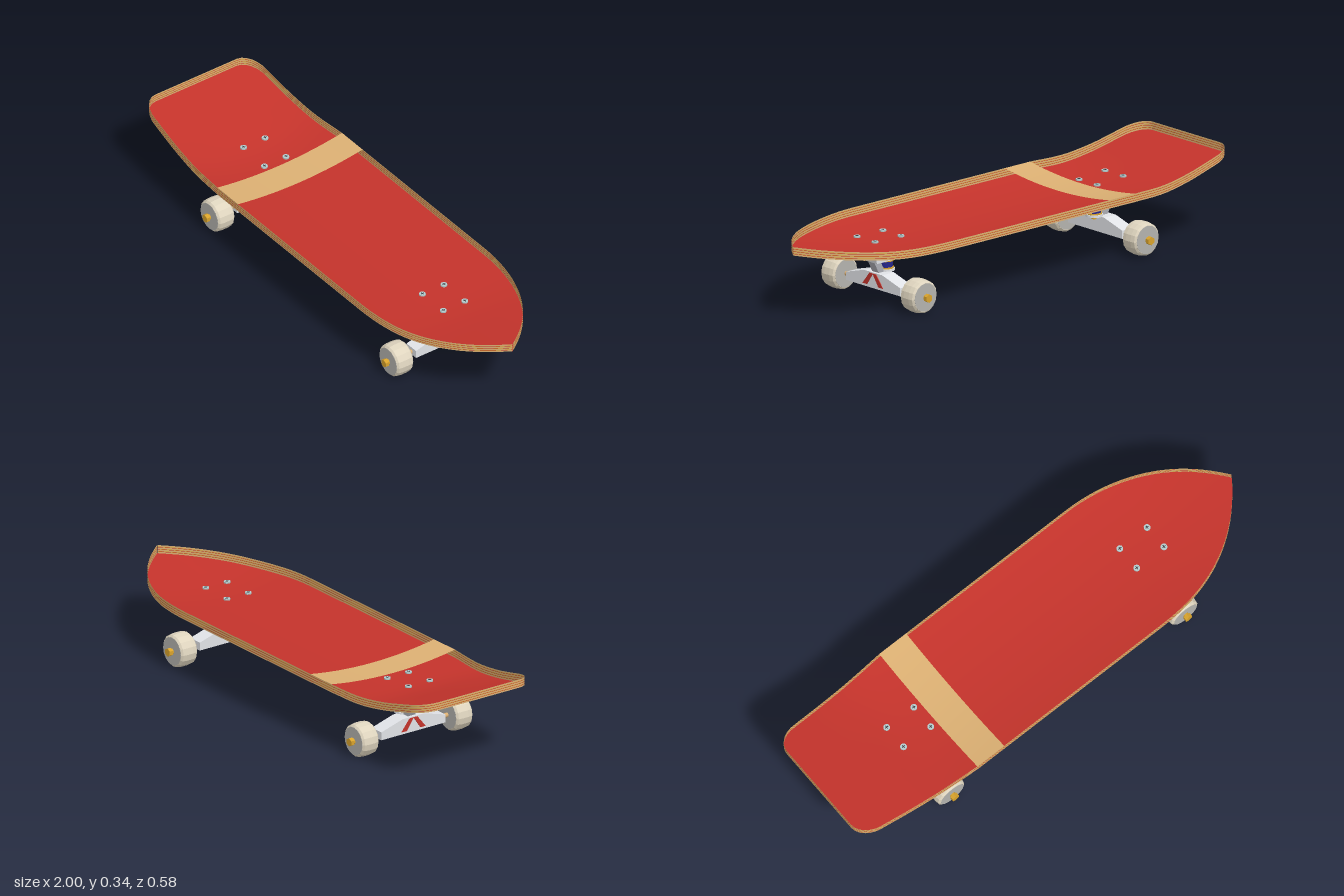
import * as THREE from 'three';

const mat = (name, color, extra = {}) => Object.assign(new THREE.MeshStandardMaterial({ color, ...extra }), { name });

export function createModel() {
  const red = mat('red', 0xc4332b, { side: THREE.DoubleSide });
  const wood = mat('maple', 0xdcb073, { side: THREE.DoubleSide });
  const cast = mat('light cast metal', 0xe2e4e8, { flatShading: true });
  const grey = mat('base grey', 0xacadb4, { flatShading: true });
  const brass = mat('brass', 0xd9a32c, { flatShading: true, side: THREE.DoubleSide });
  const blue = mat('bushing blue', 0x26268c);
  const cream = mat('wheel cream', 0xdfd5bf, { flatShading: true });
  const steel = mat('bolt steel', 0xb4cccd);
  const dark = mat('dark recess', 0x3a4044);
  const hubGrey = mat('hub grey', 0xb4b3ae);

  const model = new THREE.Group();
  const add = (parent, name, geometry, material, x = 0, y = 0, z = 0) => {
    const mesh = new THREE.Mesh(geometry, material);
    mesh.name = name;
    mesh.position.set(x, y, z);
    parent.add(mesh);
    return mesh;
  };

  // Grid surface from a point rule
  const grid = (ni, nj, point, flip = false) => {
    const pos = [], index = [];
    for (let i = 0; i <= ni; i++) for (let j = 0; j <= nj; j++) pos.push(...point(i, j));
    for (let i = 0; i < ni; i++) for (let j = 0; j < nj; j++) {
      const a = i * (nj + 1) + j, b = a + 1, c = a + nj + 1, d = c + 1;
      index.push(...(flip ? [a, c, b, b, c, d] : [a, b, c, b, d, c]));
    }
    const g = new THREE.BufferGeometry();
    g.setAttribute('position', new THREE.Float32BufferAttribute(pos, 3));
    g.setIndex(index);
    g.computeVertexNormals();
    return g;
  };

  // Deck outline as [x, half width] stations from tail to nose
  const stations = [];
  for (let i = 0; i < 7; i++) {
    const a = (i / 6) * Math.PI / 2;
    stations.push([-1 + 0.1 * (1 - Math.cos(a)), 0.19 + 0.07 * Math.sin(a)]);
  }
  for (let i = 1; i <= 12; i++) stations.push([-0.9 + 0.43 * i / 12, 0.26 + 0.03 * i / 12]);
  const stripeStart = stations.length - 1;
  stations.push([-0.34, 0.29]);
  const stripeEnd = stations.length - 1;
  for (const x of [-0.1, 0.15, 0.3]) stations.push([x, 0.29]);
  for (let i = 0; i <= 20; i++) {
    const t = i / 20, u = 1 - t;
    stations.push([0.43 * u * u + 1.6 * u * t + t * t, Math.max(0.001, 0.29 * (u * u + 2 * u * t))]);
  }
  const last = stations.length - 1;

  // Floor height: kicked tail and nose, with concave in the middle
  const kick = (d, blend, slope) => d <= 0 ? 0 : d < blend ? slope * d * d / (2 * blend) : slope * (d - blend / 2);
  const smooth = THREE.MathUtils.smoothstep;
  const deckY = (x, z) => 0.215 + kick(-0.52 - x, 0.16, 0.2425) + kick(x - 0.55, 0.2, 0.128)
    + 0.024 * (z / 0.29) ** 2 * smooth(x, -0.82, -0.5) * (1 - 0.5 * smooth(x, 0.55, 1));
  const thickness = 0.033;

  // Thin floor inside a raised rim, with the stripe bridging the rim tops
  const deck = new THREE.Group();
  deck.name = 'deck';
  model.add(deck);
  const sheet = (name, from, to, lift, material) => add(deck, name, grid(to - from, 14, (i, j) => {
    const [x, w] = stations[from + i], z = w * (j / 7 - 1);
    return [x, deckY(x, z) + lift, z];
  }), material);
  sheet('deckFloor', 0, last, 0, red);
  sheet('topStripe', stripeStart, stripeEnd, thickness, wood);

  // Plies around the rim: thick maple with thin red and brass lines between
  const plies = [[wood, 0.006], [red, 0.0015], [brass, 0.0015]];
  let low = 0;
  for (let n = 0; n < 10; n++) {
    const [material, h] = plies[n % 3], base = low;
    for (const side of [1, -1]) {
      add(deck, 'sidePly', grid(last, 1, (i, j) => {
        const [x, w] = stations[i];
        return [x, deckY(x, w) + base + j * h, side * w];
      }, side > 0), material);
    }
    add(deck, 'tailPly', grid(1, 1, (i, j) => {
      const [x, w] = stations[0], z = w * (2 * i - 1);
      return [x, deckY(x, z) + base + j * h, z];
    }, true), material);
    low += h;
  }

  // Extruded plates; crossPlate profiles are drawn in z and y and run along x
  const plate = (pts, depth) =>
    new THREE.ExtrudeGeometry(new THREE.Shape(pts.map(p => new THREE.Vector2(...p))), { depth, bevelEnabled: false })
      .translate(0, 0, -depth / 2);
  const crossPlate = (pts, depth) => plate(pts, depth).rotateY(Math.PI / 2);
  const rod = (r, len, n) => new THREE.CylinderGeometry(r, r, len, n).rotateX(Math.PI / 2);
  const wheelShape = [[0.001, -0.0375], [0.056, -0.0375], [0.063, -0.031], [0.0655, -0.013],
    [0.0655, 0.013], [0.063, 0.031], [0.056, 0.0375], [0.001, 0.0375]].map(p => new THREE.Vector2(...p));
  const wheelGeometry = new THREE.LatheGeometry(wheelShape, 16).rotateX(Math.PI / 2);

  // Truck at x = end * 0.565, with local +x facing the end of the board
  const buildTruck = (name, end) => {
    const truck = new THREE.Group();
    truck.name = name;
    truck.position.x = end * 0.565;
    truck.rotation.y = end > 0 ? 0 : Math.PI;
    model.add(truck);
    add(truck, 'baseplate', new THREE.BoxGeometry(0.166, 0.0105, 0.14), grey, 0, 0.2093, 0);
    add(truck, 'baseBlock', plate([[-0.042, 0.155], [0.04, 0.155], [0.055, 0.206], [-0.055, 0.206]], 0.066), cast);
    add(truck, 'pivot', new THREE.BoxGeometry(0.028, 0.066, 0.036), grey, 0.014, 0.136, 0).rotation.z = -0.45;
    add(truck, 'hanger', crossPlate([[-0.15, 0.052], [0.15, 0.052], [0.15, 0.084], [0.05, 0.113], [-0.05, 0.113], [-0.15, 0.084]], 0.06), cast);

    // Kingpin stack
    const stack = (part, r, y, h, m) => add(truck, part, new THREE.CylinderGeometry(r, r, h, 16), m, -0.035, y, 0);
    stack('bushingSeat', 0.034, 0.116, 0.009, cast);
    stack('lowerWasher', 0.03, 0.123, 0.006, brass);
    stack('bushing', 0.026, 0.139, 0.026, blue);
    stack('upperWasher', 0.03, 0.152, 0.006, brass);
    stack('kingpin', 0.01, 0.13, 0.06, brass);

    for (const s of [1, -1]) {
      const chevron = [[0, 0.109], [s * 0.018, 0.109], [s * 0.056, 0.062], [s * 0.032, 0.062]];
      add(truck, 'chevronStripe', crossPlate(chevron, 0.004), red, 0.031, 0, 0);
      const y = 0.0655, z = s * 0.22;
      add(truck, 'axle', rod(0.009, 0.13, 10), wood, 0, y, s * 0.205);
      add(truck, 'wheel', wheelGeometry, cream, 0, y, z);
      for (const e of [1, -1]) add(truck, 'wheelFace', rod(0.055, 0.002, 16), hubGrey, 0, y, z + e * 0.0375);
      add(truck, 'axleWasher', rod(0.012, 0.008, 10), brass, 0, y, s * 0.261);
      add(truck, 'axleNut', rod(0.0165, 0.015, 6), brass, 0, y, s * 0.272);
    }

    // Mounting bolt heads level with the rim, each with a cross recess
    for (const x of [-0.066, 0.066]) for (const z of [-0.05, 0.05]) {
      const top = deckY(end * (0.565 + x), z) + thickness;
      add(truck, 'boltHead', new THREE.CylinderGeometry(0.013, 0.013, 0.006, 10), steel, x, top, z);
      for (const turn of [0, Math.PI / 2])
        add(truck, 'boltRecess', new THREE.BoxGeometry(0.014, 0.001, 0.003), dark, x, top + 0.003, z).rotation.y = turn;
    }
  };
  buildTruck('noseTruck', 1);
  buildTruck('tailTruck', -1);
  return model;
}
